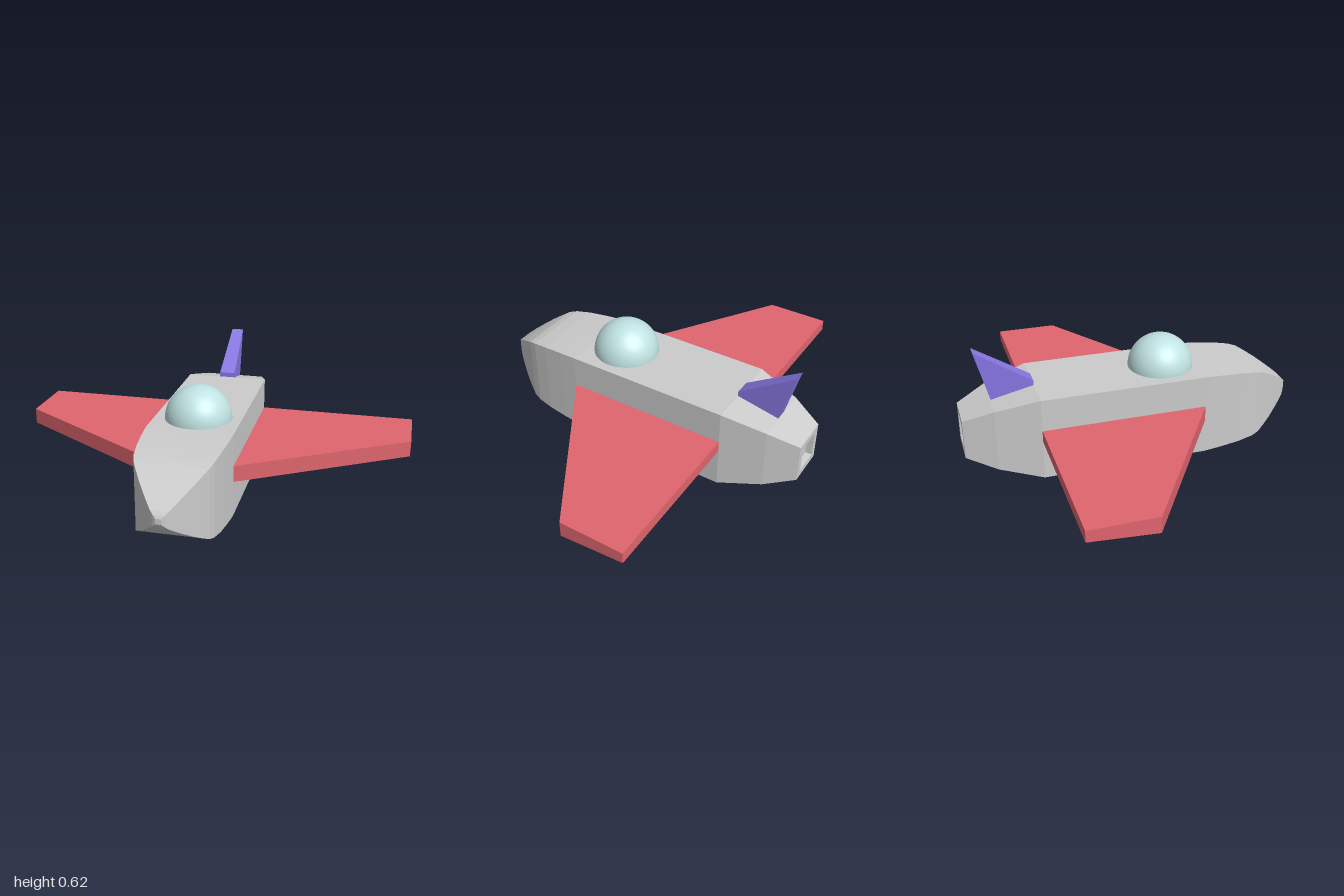
import * as THREE from 'three';

// Skins a row of four-cornered rings; corners run anticlockwise seen from the end of the row.
function loft(rings) {
  const pos = [];
  const quad = (a, b, c, d) => pos.push(...a, ...b, ...c, ...a, ...c, ...d);
  for (let r = 0; r < rings.length - 1; r++) {
    for (let i = 0; i < 4; i++) {
      const j = (i + 1) % 4;
      quad(rings[r][i], rings[r][j], rings[r + 1][j], rings[r + 1][i]);
    }
  }
  const [s, e] = [rings[0], rings[rings.length - 1]];
  quad(s[3], s[2], s[1], s[0]);
  quad(e[0], e[1], e[2], e[3]);
  const geometry = new THREE.BufferGeometry();
  geometry.setAttribute('position', new THREE.Float32BufferAttribute(pos, 3));
  geometry.computeVertexNormals();
  return geometry;
}

function addPart(group, name, geometry, color, flatShading = true) {
  const mesh = new THREE.Mesh(geometry, new THREE.MeshStandardMaterial({ color, flatShading }));
  mesh.name = name;
  group.add(mesh);
  return mesh;
}

export function createModel() {
  const model = new THREE.Group();
  model.name = 'toySpaceship';
  const midY = 0.208;

  // Square fuselage: [z, half width], starting inside the exhaust recess
  const profile = [
    [-0.815, 0.06], [-0.845, 0.065], [-0.845, 0.098], [-0.7, 0.155], [-0.49, 0.208],
    [0.33, 0.208], [0.42, 0.202], [0.52, 0.193], [0.6, 0.181], [0.64, 0.169],
    [0.68, 0.146], [0.72, 0.121], [0.76, 0.093], [0.8, 0.063],
    [0.825, 0.042], [0.838, 0.026], [0.845, 0.013],
  ];
  const square = ([z, h]) => [[-1, -1], [1, -1], [1, 1], [-1, 1]]
    .map(([x, y]) => [x * h, midY + y * h, z]);
  addPart(model, 'fuselage', loft(profile.map(square)), 0xcccccc);

  // Swept wings, thinner along the trailing edge
  const section = (x, front) => [
    [x, 0.176, front], [x, 0.2, -0.49], [x, 0.256, -0.49], [x, 0.256, front],
  ];
  for (const side of [1, -1]) {
    const rings = [section(side * 0.2, 0.33), section(side, -0.175)];
    if (side < 0) rings.reverse();
    addPart(model, side > 0 ? 'leftWing' : 'rightWing', loft(rings), 0xe0656e);
  }

  // Tail fin: [half width, y, z]
  const fin = [[0.04, 0.41, -0.49], [0.03, 0.36, -0.695], [0.03, 0.615, -0.762], [0.04, 0.44, -0.49]];
  const finSide = (side) => fin.map(([w, y, z]) => [side * w, y, z]);
  addPart(model, 'tailFin', loft([finSide(-1), finSide(1)]), 0x8877e4);

  // Cockpit dome
  const dome = addPart(model, 'cockpitDome',
    new THREE.SphereGeometry(0.161, 48, 20, 0, Math.PI * 2, 0, Math.PI / 2), 0xc0e2e2, false);
  dome.position.set(0, 0.416, 0.156);

  return model;
}
